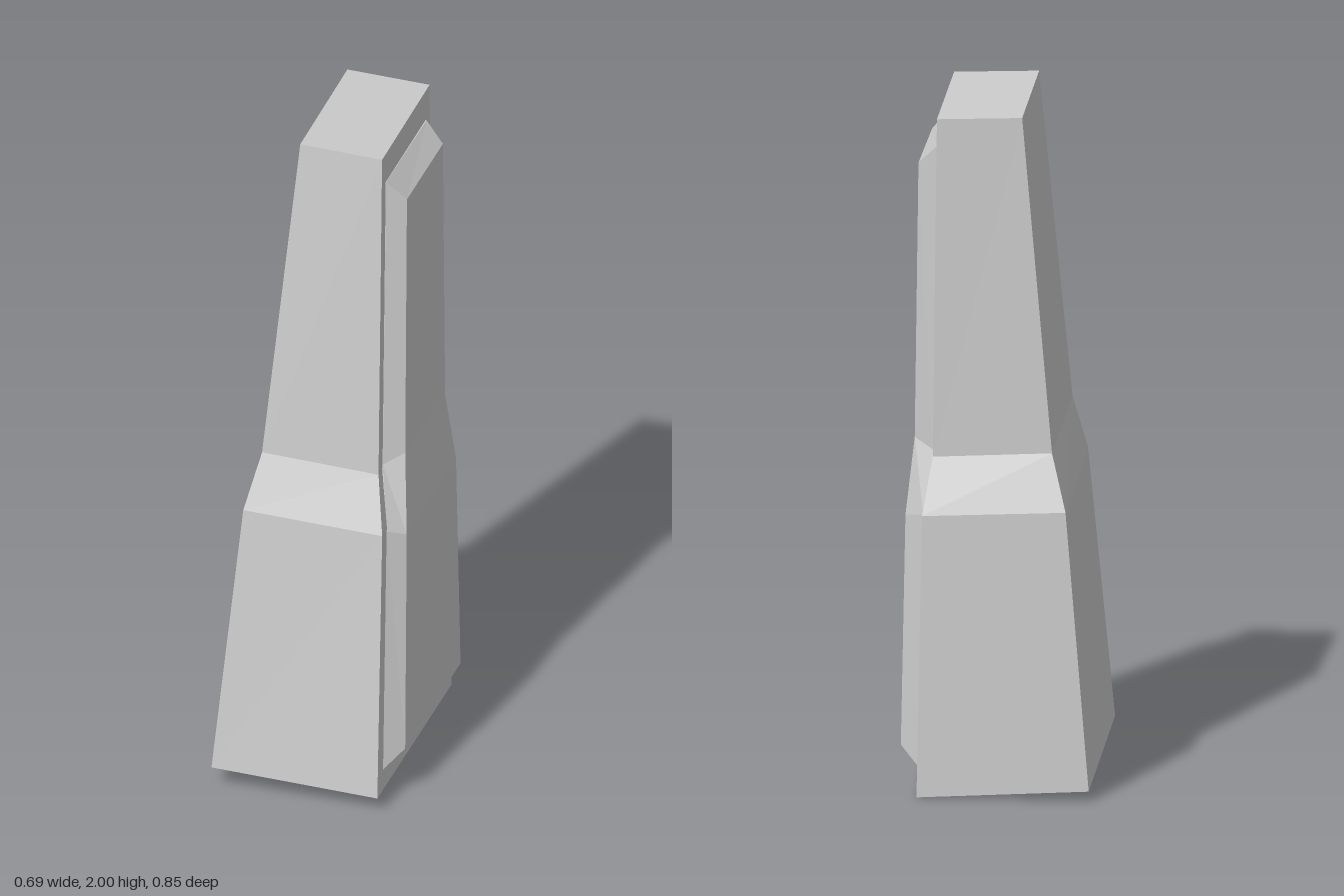
import * as THREE from 'three';

const material = new THREE.MeshStandardMaterial({ color: 0xcccccc, flatShading: true, side: THREE.DoubleSide });

// Flat-shaded mesh from a list of four-cornered faces
function quadMesh(name, quads) {
  const points = quads.flatMap(([a, b, c, d]) => [a, b, c, a, c, d]);
  const geometry = new THREE.BufferGeometry();
  geometry.setAttribute('position', new THREE.Float32BufferAttribute(points.flat(), 3));
  geometry.computeVertexNormals();
  const mesh = new THREE.Mesh(geometry, material);
  mesh.name = name;
  return mesh;
}

// Band of faces between two closed rings
const band = (a, b) => a.map((p, i) => {
  const j = (i + 1) % a.length;
  return [p, a[j], b[j], b[i]];
});

export function createModel() {
  const group = new THREE.Group();
  group.name = 'taperedPillar';

  // Pillar: four tilted sections, corners in order front left, front right, back right, back left
  const sections = [
    [[-0.155, 0.065, 0.42], [0.32, 0.045, 0.30], [0.13, 0, -0.425], [-0.345, 0.03, -0.305]],
    [[-0.11, 0.87, 0.32], [0.285, 0.85, 0.215], [0.115, 0.82, -0.42], [-0.28, 0.84, -0.318]],
    [[-0.09, 1.03, 0.25], [0.24, 1.01, 0.16], [0.105, 0.98, -0.36], [-0.225, 1.0, -0.28]],
    [[-0.03, 2, 0.14], [0.205, 1.99, 0.082], [0.085, 1.97, -0.38], [-0.15, 1.98, -0.32]],
  ];
  const pillar = [[...sections[0]].reverse(), sections[3]];
  for (let i = 0; i < 3; i++) pillar.push(...band(sections[i], sections[i + 1]));
  group.add(quadMesh('pillarBody', pillar));

  // Raised panel: rings run up the front edge and down the back edge
  const rim = [
    [0.303, 0.105, 0.24], [0.273, 0.84, 0.172], [0.23, 1.02, 0.12], [0.199, 1.90, 0.05],
    [0.101, 1.88, -0.337], [0.117, 0.99, -0.322], [0.131, 0.81, -0.367], [0.145, 0.075, -0.37],
  ];
  const crown = [
    [0.34, 0.155, 0.18], [0.312, 0.82, 0.125], [0.276, 1.05, 0.073], [0.245, 1.838, 0.012],
    [0.16, 1.825, -0.328], [0.178, 1.02, -0.31], [0.193, 0.80, -0.345], [0.205, 0.13, -0.35],
  ];
  // Skirt sunk into the pillar so the rim sits without gaps
  const skirt = rim.map(([x, y, z]) => [x - 0.02, y, z + 0.005]);
  const panel = [...band(rim, skirt), ...band(crown, rim)];
  for (let i = 0; i < 3; i++) panel.push([crown[i], crown[7 - i], crown[6 - i], crown[i + 1]]);
  group.add(quadMesh('raisedSidePanel', panel));

  return group;
}
